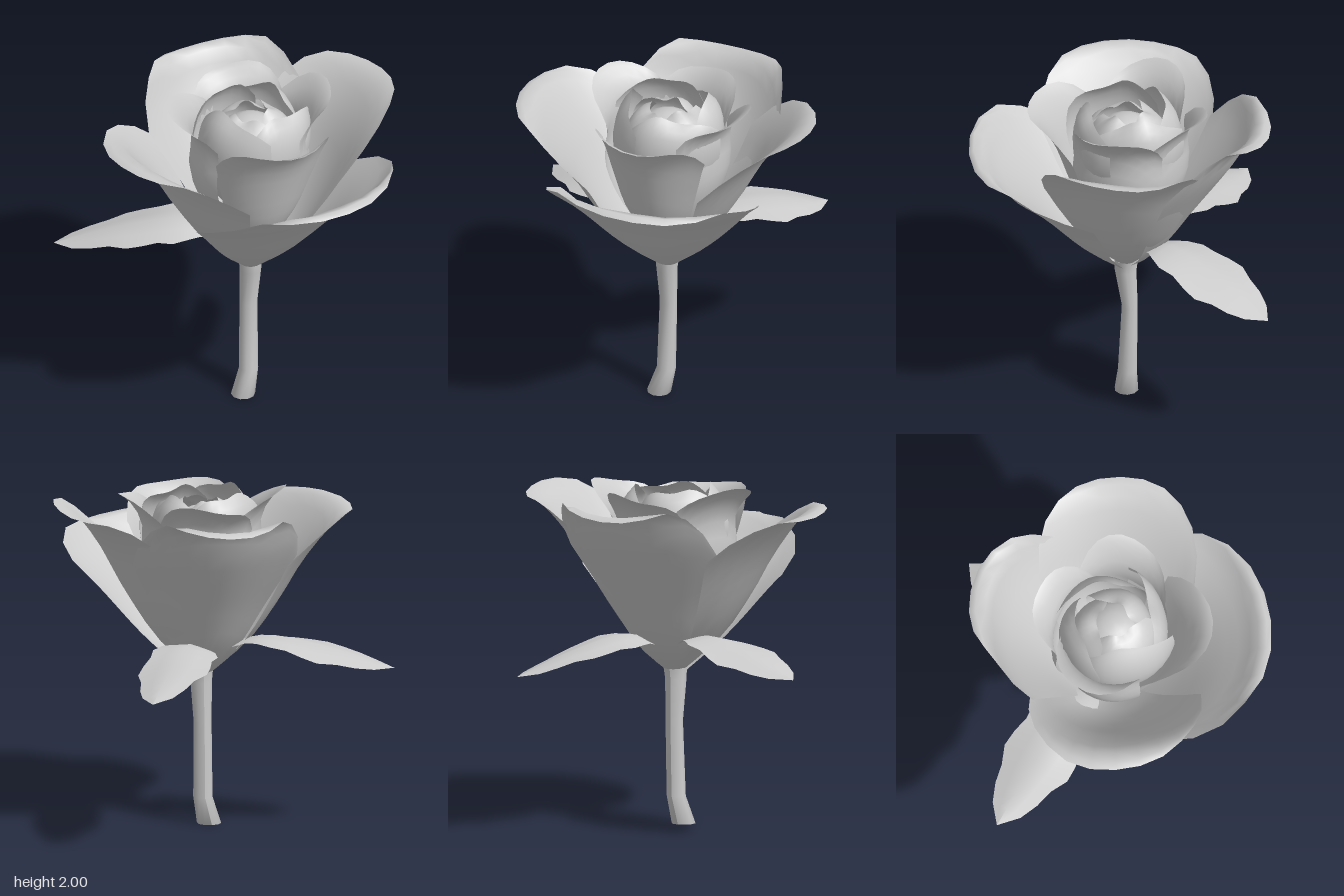
import * as THREE from 'three';

const grey = new THREE.MeshStandardMaterial({ color: 0xcccccc, side: THREE.DoubleSide });

// Smooth sheet from a rule: point(u, v) with u in -1..1 across and v in 0..1 along
function sheet(name, nu, nv, point) {
  const pos = [], idx = [];
  for (let j = 0; j <= nv; j++)
    for (let i = 0; i <= nu; i++) pos.push(...point((i / nu) * 2 - 1, j / nv));
  for (let j = 0; j < nv; j++)
    for (let i = 0; i < nu; i++) {
      const a = j * (nu + 1) + i, b = a + 1, c = a + nu + 1, d = c + 1;
      idx.push(a, b, d, a, d, c);
    }
  const g = new THREE.BufferGeometry();
  g.setAttribute('position', new THREE.Float32BufferAttribute(pos, 3));
  g.setIndex(idx);
  g.computeVertexNormals();
  const m = new THREE.Mesh(g, grey);
  m.name = name;
  return m;
}

const CX = 0.06, CZ = 0.02;

// Petal: a [radius, height] profile swept around the bloom axis, shortened towards its sides.
// az and half are degrees; twist pulls one side inwards so that neighbours overlap.
function petal(name, az, half, drop, twist, profile) {
  const curve = new THREE.CatmullRomCurve3(profile.map(([r, y]) => new THREE.Vector3(r, y, 0)));
  return sheet(name, 12, 12, (u, v) => {
    const along = 1 - (1 - v) ** 1.4; // finer rows near the lip
    const p = curve.getPointAt(along * (1 - drop * Math.abs(u) ** 2.4));
    const a = THREE.MathUtils.degToRad(az + u * half);
    const r = p.x * (1 + twist * u * v) + 0.012 * v * Math.sin(4 * u + az);
    const y = p.y + 0.018 * v * v * Math.sin(5 * u + az * 2);
    return [CX + r * Math.sin(a), Math.min(y, 2), CZ + r * Math.cos(a)];
  });
}

// Leaf: arched spine, broad pointed outline with coarse teeth, sides drooping from the midrib
function leaf(name, points, width) {
  const curve = new THREE.CatmullRomCurve3(points.map((p) => new THREE.Vector3(...p)));
  return sheet(name, 4, 12, (u, v) => {
    const p = curve.getPoint(v), t = curve.getTangent(v);
    const side = new THREE.Vector3(-t.z, 0, t.x).normalize();
    const tooth = Math.abs(u) === 1 ? 1 + 0.07 * (Math.round(v * 12) % 3 - 1) : 1;
    const w = width * Math.max(0, Math.sin(Math.PI * v ** 1.25)) ** 0.75 * tooth;
    p.addScaledVector(side, u * w);
    return [p.x, p.y - 0.2 * Math.abs(u) * w + 0.1 * u * w * Math.sin(6 * v), p.z];
  });
}

// Stem: rings of [centre x, y, centre z, radius x, radius z], closed at the foot
function stem() {
  const rings = [[0.01, 0, 0.03, 0, 0], [0.01, 0, 0.03, 0.07, 0.07], [0.05, 0.16, 0.015, 0.056, 0.056],
    [0.055, 0.6, 0, 0.052, 0.047], [0.058, 0.84, 0.025, 0.062, 0.065], [0.06, 0.92, 0.02, 0.07, 0.07]];
  return sheet('stem', 10, rings.length - 1, (u, v) => {
    const [x, y, z, rx, rz] = rings[Math.round(v * (rings.length - 1))];
    return [x + rx * Math.sin(u * Math.PI), y, z + rz * Math.cos(u * Math.PI)];
  });
}

export function createModel() {
  const rose = new THREE.Group();
  rose.name = 'rose';
  rose.add(stem());

  // Two leaves under the bloom
  rose.add(
    leaf('rightLeaf', [[0, 1.04, -0.06], [-0.25, 1.14, -0.17], [-0.58, 1.09, -0.31], [-0.97, 0.97, -0.46]], 0.21),
    leaf('backLeaf', [[0.09, 1.04, -0.06], [0.2, 1.13, -0.27], [0.38, 1.07, -0.6], [0.58, 0.94, -0.94]], 0.2),
  );

  // Four large outer petals with rolled lips
  const outer = new THREE.Group();
  outer.name = 'outerPetals';
  outer.add(
    petal('frontPetal', 17, 69, 0.33, 0,
      [[0.01, 0.84], [0.3, 1.09], [0.6, 1.42], [0.79, 1.6], [0.87, 1.69], [0.92, 1.65]]),
    petal('leftPetal', 99, 52, 0.34, 0,
      [[0.01, 0.87], [0.25, 1.1], [0.45, 1.4], [0.62, 1.7], [0.8, 1.9], [0.89, 1.92]]),
    petal('backPetal', 178, 53, 0.28, 0,
      [[0.01, 0.86], [0.2, 1.02], [0.42, 1.35], [0.65, 1.7], [0.77, 1.91], [0.84, 1.88]]),
    petal('rightPetal', -78, 56, 0.32, 0,
      [[0.01, 0.86], [0.28, 1.1], [0.46, 1.36], [0.6, 1.6], [0.82, 1.85], [0.9, 1.83]]),
  );
  rose.add(outer);

  // Four middle petals, upright with flared rims
  const middle = new THREE.Group();
  middle.name = 'middlePetals';
  [['front', 2, 56, 0.55, 1.92], ['left', 88, 50, 0.48, 1.97], ['back', 168, 50, 0.47, 1.95], ['right', -106, 52, 0.47, 1.98]]
    .forEach(([n, az, half, r, y]) => middle.add(petal(n + 'MiddlePetal', az, half, 0.2, 0.08,
      [[0.02, 0.95], [0.24, 1.25], [0.35, 1.55], [r - 0.13, y - 0.17], [r - 0.04, y - 0.03], [r + 0.01, y]])));
  rose.add(middle);

  // Bud of petals folding inwards over a rounded heart
  const bud = new THREE.Group();
  bud.name = 'bud';
  for (let i = 0; i < 4; i++)
    bud.add(petal('budPetal', 30 + i * 90, 58, 0.16, 0.14,
      [[0.05, 1.2], [0.25, 1.45], [0.32, 1.7], [0.29, 1.88], [0.22, 1.95 + 0.01 * i]]));
  for (let i = 0; i < 3; i++)
    bud.add(petal('heartPetal', 70 + i * 120, 70, 0.12, 0.16,
      [[0.05, 1.4], [0.22, 1.6], [0.24, 1.76], [0.17, 1.87], [0.09, 1.91]]));
  const heart = new THREE.Mesh(new THREE.SphereGeometry(0.21, 14, 10), grey);
  heart.name = 'heart';
  heart.position.set(CX, 1.67, CZ);
  bud.add(heart);
  rose.add(bud);
  return rose;
}
